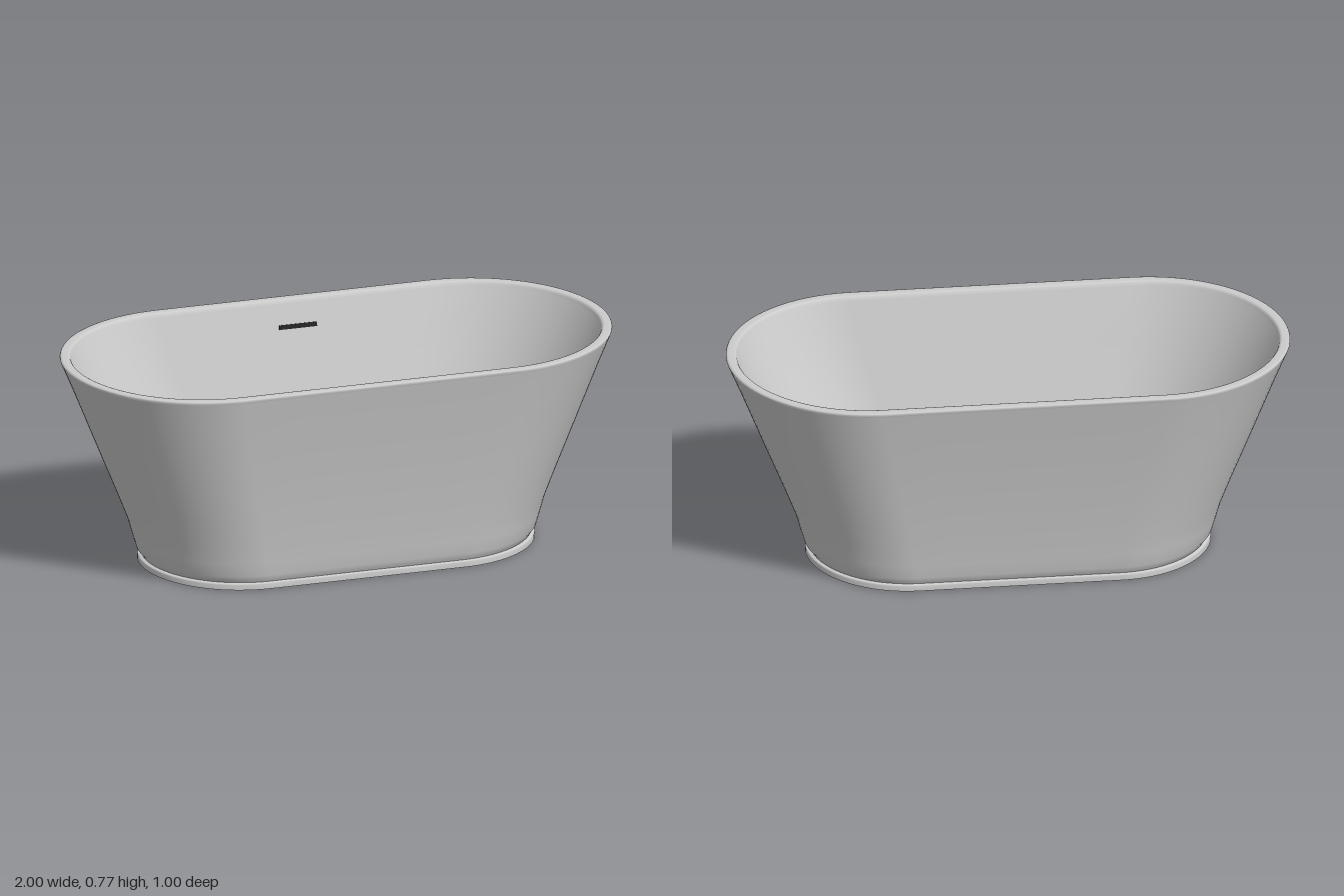
import * as THREE from 'three';

const ARC = 40, STRAIGHT = 6;

// Stadium outline: half length hx, half width hz, at height y
function stadium(hx, y, hz) {
  const pts = [], s = hx - hz;
  for (const side of [1, -1]) {
    for (let i = 0; i <= ARC; i++) {
      const t = -Math.PI / 2 + (Math.PI * i) / ARC;
      pts.push([side * (s + hz * Math.cos(t)), y, side * hz * Math.sin(t)]);
    }
    for (let i = 1; i < STRAIGHT; i++) {
      pts.push([side * s * (1 - (2 * i) / STRAIGHT), y, side * hz]);
    }
  }
  return pts;
}

// Skin a list of [halfLength, y, halfWidth] sections, smooth along the profile
function loft(sections) {
  const rings = sections.map((s) => stadium(...s));
  const n = rings[0].length, index = [];
  for (let r = 0; r < rings.length - 1; r++) {
    for (let j = 0; j < n; j++) {
      const a = r * n + j, b = r * n + ((j + 1) % n), c = a + n, d = b + n;
      index.push(a, c, b, b, c, d);
    }
  }
  const geo = new THREE.BufferGeometry();
  geo.setAttribute('position', new THREE.Float32BufferAttribute(rings.flat(2), 3));
  geo.setIndex(index);
  geo.computeVertexNormals();
  return geo;
}

// Flat stadium plate facing up or down
function plate(hx, y, hz, up) {
  const shape = new THREE.Shape(stadium(hx, 0, hz).map(([x, , z]) => new THREE.Vector2(x, z)));
  const geo = new THREE.ShapeGeometry(shape);
  geo.rotateX(up ? -Math.PI / 2 : Math.PI / 2);
  geo.translate(0, y, 0);
  return geo;
}

export function createModel() {
  const group = new THREE.Group();
  const grey = new THREE.MeshStandardMaterial({ color: 0xcccccc });
  const dark = new THREE.MeshStandardMaterial({ color: 0x222222 });
  const metal = new THREE.MeshStandardMaterial({ color: 0xc4ced6 });
  const add = (name, geo, mat = grey) => {
    const mesh = new THREE.Mesh(geo, mat);
    mesh.name = name;
    group.add(mesh);
    return mesh;
  };

  // Plinth with a small rounded top edge
  add('plinthBase', plate(0.72, 0, 0.36, false));
  add('plinthSide', loft([[0.72, 0, 0.36], [0.72, 0.018, 0.36], [0.717, 0.022, 0.357], [0.705, 0.025, 0.345]]));

  // Flared outer shell, pinched in just above the plinth
  add('outerShell', loft([
    [0.705, 0.022, 0.348], [0.712, 0.033, 0.353], [0.725, 0.05, 0.36], [0.74, 0.1, 0.367],
    [0.757, 0.16, 0.376], [0.8, 0.27, 0.395], [0.853, 0.4, 0.419], [0.905, 0.53, 0.446],
    [0.955, 0.655, 0.473], [0.997, 0.755, 0.496],
  ]));

  // Rounded rim
  add('rim', loft([
    [0.997, 0.755, 0.496], [1, 0.763, 0.499], [0.998, 0.768, 0.497], [0.992, 0.77, 0.491],
    [0.972, 0.77, 0.469], [0.966, 0.768, 0.463], [0.962, 0.763, 0.459], [0.959, 0.755, 0.456],
  ]));

  // Tapered inner wall and flat floor
  const floorY = 0.1;
  add('innerWall', loft([
    [0.959, 0.755, 0.456], [0.92, 0.675, 0.433], [0.86, 0.56, 0.4],
    [0.79, 0.43, 0.363], [0.71, 0.29, 0.32], [0.6, floorY, 0.26],
  ]));
  add('floor', plate(0.6, floorY, 0.26, true));

  // Overflow slot on the back wall
  const slot = add('overflowSlot', new THREE.BoxGeometry(0.14, 0.016, 0.008), dark);
  slot.position.set(0, 0.675, -0.432);
  slot.rotation.x = -0.28;

  // Drain cover
  const drain = add('drain', new THREE.CylinderGeometry(0.033, 0.035, 0.006, 40), metal);
  drain.position.y = floorY + 0.002;

  return group;
}
